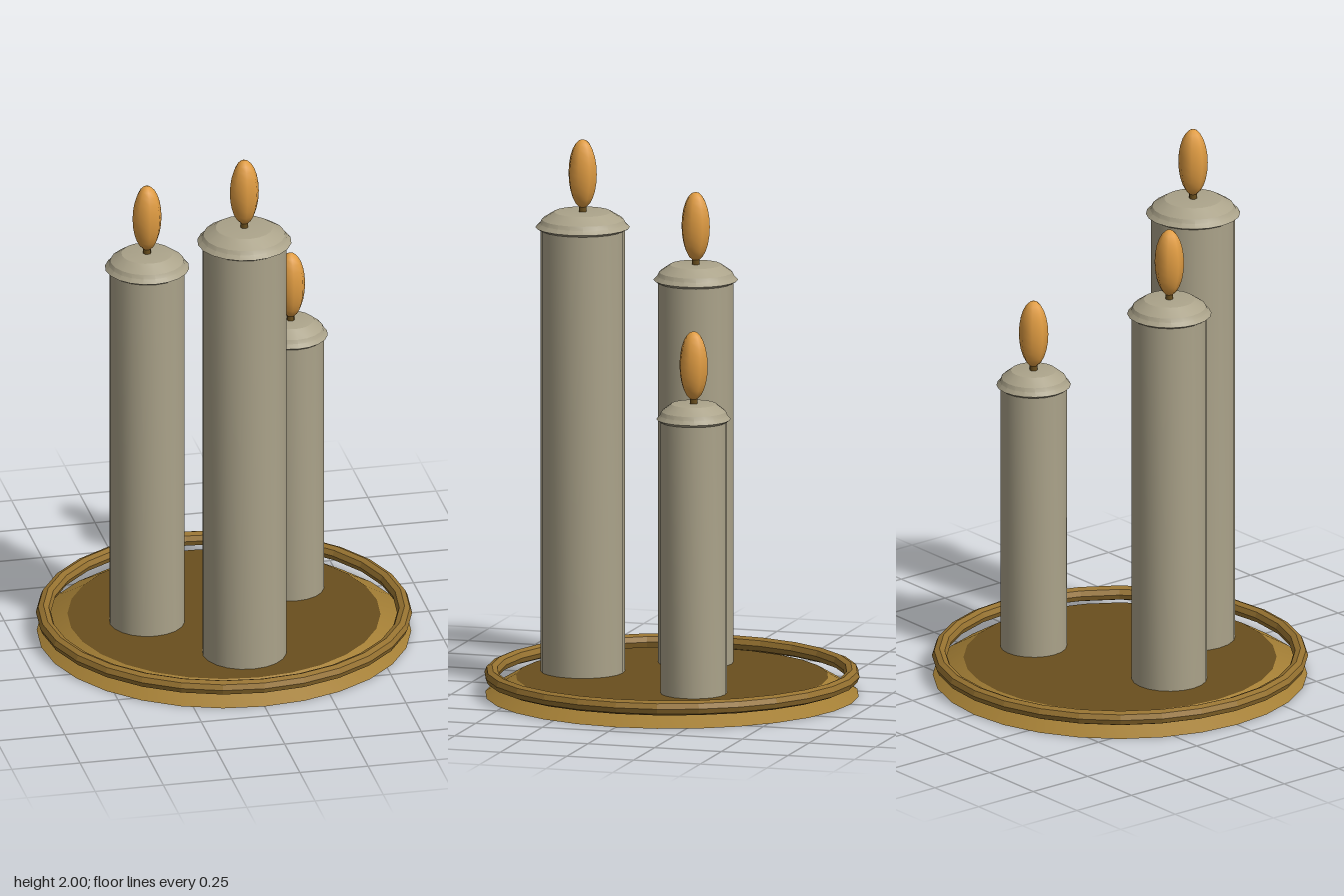
import * as THREE from 'three';
import { toCreasedNormals } from 'three/addons/utils/BufferGeometryUtils.js';

const mat = (name, color) => {
  const m = new THREE.MeshStandardMaterial({ color });
  m.name = name;
  return m;
};

export function createModel() {
  const brass = mat('brass', 0xa37e35);
  const rimBrass = mat('rim brass', 0x967230);
  const darkBrass = mat('dark brass', 0x6a4f1e);
  const wax = mat('wax', 0xaba38a);
  const flameColor = mat('flame orange', 0xe09c42);

  const add = (parent, name, geometry, material, x = 0, y = 0, z = 0) => {
    const mesh = new THREE.Mesh(geometry, material);
    mesh.name = name;
    mesh.position.set(x, y, z);
    parent.add(mesh);
    return mesh;
  };
  const lathe = (points, segments) => toCreasedNormals(
    new THREE.LatheGeometry(points.map(([r, y]) => new THREE.Vector2(r, y)), segments), 0.36);

  const model = new THREE.Group();
  model.name = 'candleTray';

  // Tray: sloping brass skirt and underside with a dark floor
  const tray = new THREE.Group();
  tray.name = 'tray';
  model.add(tray);
  add(tray, 'traySkirt', lathe([[0, 0], [0.67, 0], [0.56, 0.065]], 28), brass);
  add(tray, 'trayFloor', new THREE.CircleGeometry(0.56, 28).rotateX(-Math.PI / 2), darkBrass, 0, 0.065, 0);

  // Raised rim of short faceted lengths, separated from the skirt by a narrow gap
  const rim = new THREE.TorusGeometry(0.646, 0.027, 8, 28).rotateX(Math.PI / 2);
  add(tray, 'trayRim', toCreasedNormals(rim, 0.2), rimBrass, 0, 0.071, 0);

  // Candles: wax column with a flared lip and stepped top, wick and flame
  const candles = [
    { name: 'tallCandle', x: 0, z: 0.335, r: 0.151, top: 1.737 },
    { name: 'mediumCandle', x: -0.282, z: 0, r: 0.135, top: 1.513 },
    { name: 'smallCandle', x: 0.282, z: -0.17, r: 0.119, top: 1.118 },
  ];
  for (const { name, x, z, r, top } of candles) {
    const candle = new THREE.Group();
    candle.name = name;
    candle.position.set(x, 0, z);
    model.add(candle);

    add(candle, 'waxColumn', lathe([[r, 0.06], [r, top - 0.06]], 20), wax);
    add(candle, 'waxLip', lathe([
      [r * 0.97, top - 0.068], [r * 1.12, top - 0.056], [r * 1.02, top - 0.042],
      [r * 0.97, top - 0.028], [r * 0.68, top - 0.001], [r * 0.64, top], [0, top],
    ], 20), wax);
    add(candle, 'wick', new THREE.CylinderGeometry(0.014, 0.014, 0.06, 8), darkBrass, 0, top + 0.025, 0);
    add(candle, 'flame', new THREE.SphereGeometry(0.053, 8, 12).scale(1, 0.125 / 0.053, 1),
      flameColor, 0, top + 0.138, 0);
  }
  return model;
}
